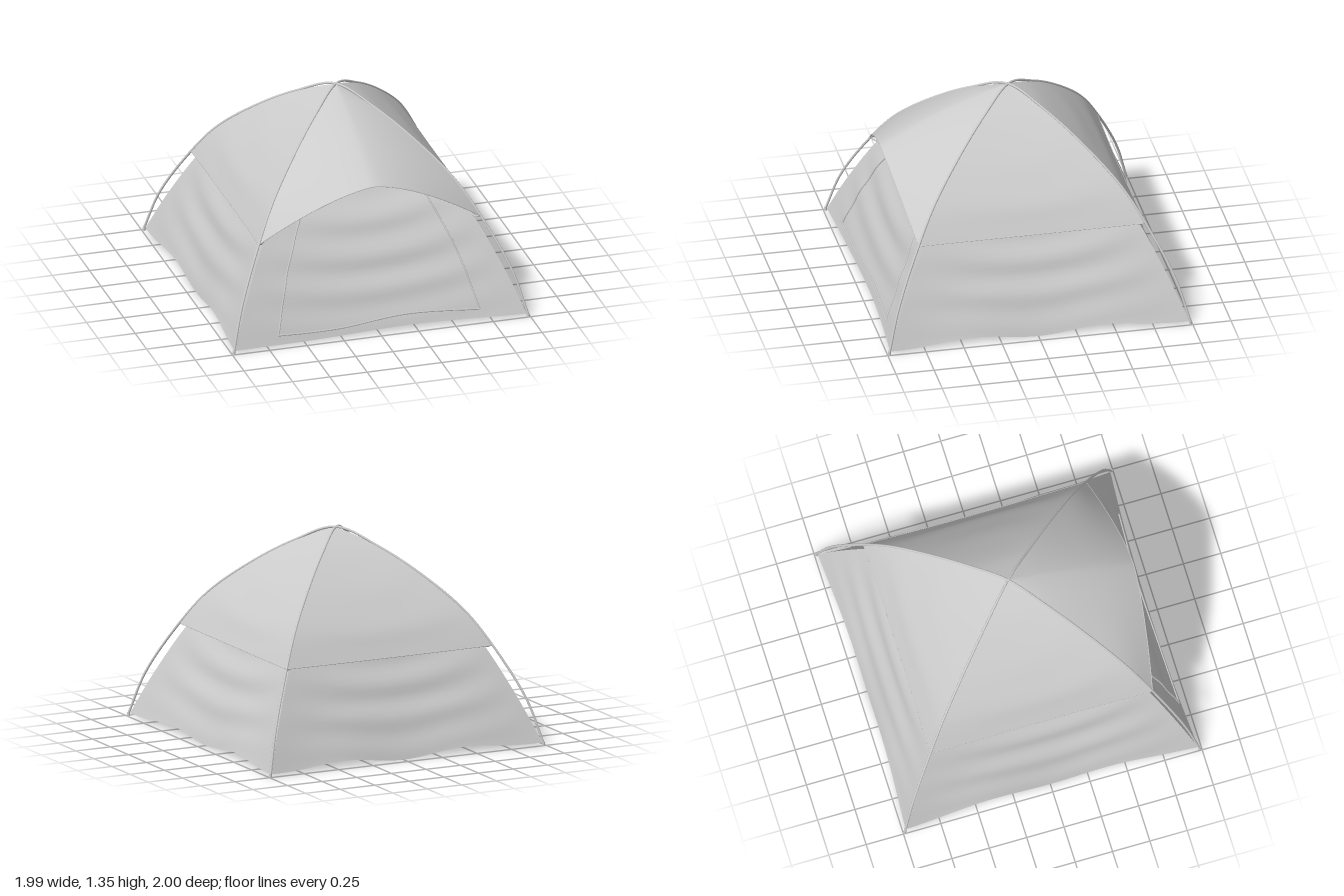
import * as THREE from 'three';

const fabric = new THREE.MeshStandardMaterial({ color: 0xcccccc, side: THREE.DoubleSide });
const solid = new THREE.MeshStandardMaterial({ color: 0xcccccc });
const spline = (pts) => new THREE.SplineCurve(pts.map(([x, y]) => new THREE.Vector2(x, y)));

// Corner profiles from the ground to the peak: half width, height
const polePoints = [[0.988, 0.012], [0.905, 0.3], [0.745, 0.635], [0.605, 0.86], [0.4, 1.075], [0.2, 1.235], [0, 1.343]];
const poleProfile = spline(polePoints);
const innerProfile = spline([[0.98, 0.018], [0.865, 0.3], [0.705, 0.63], [0.555, 0.85], [0.36, 1.05], [0.17, 1.2], [0, 1.31]]);
const hip = 2 / 6; // where the fly ends along the pole

function addMesh(parent, name, geometry, material) {
  const mesh = new THREE.Mesh(geometry, material);
  mesh.name = name;
  parent.add(mesh);
  return mesh;
}

// Sheet whose points follow rule(u, v), u in -1..1 across and v in 0..1 upwards
function sheet(rule, nu = 48, nv = 64) {
  const g = new THREE.PlaneGeometry(2, 1, nu, nv);
  const pos = g.attributes.position;
  for (let i = 0; i < pos.count; i++) {
    const p = rule(pos.getX(i), pos.getY(i) + 0.5);
    pos.setXYZ(i, p.x, p.y, p.z);
  }
  g.computeVertexNormals();
  return g;
}

// Uneven bottom hems
const frontHem = (u) => 0.012 * Math.sin(Math.PI * (u + 0.15)) * (1 - u * u);
const sideHem = (u) => (0.008 - 0.024 * Math.cos(2 * Math.PI * u)) * (1 - u * u);

// Inner wall: pulled in at the middle, with hanging creases
function wallPoint(u, v, hem) {
  const p = innerProfile.getPoint(v);
  const slack = 1 - u * u;
  const fade = Math.min(1, v * 5) * Math.max(0, 1 - v);
  const crease = 0.012 * fade * slack * Math.sin(30 * (p.y - 0.13 * u * u));
  const sag = 0.036 * slack * (1 - v);
  const y = p.y + hem(u) * Math.max(0, 1 - 5 * v);
  return new THREE.Vector3(u * p.x, y, p.x - sag + crease);
}

// Point on the front wall at a given x and y
function frontWallAt(x, y) {
  let lo = 0, hi = 1;
  for (let i = 0; i < 30; i++) {
    const mid = (lo + hi) / 2;
    if (innerProfile.getPoint(mid).y < y) lo = mid; else hi = mid;
  }
  const p = wallPoint(x / innerProfile.getPoint(lo).x, lo, frontHem);
  p.z += 0.003;
  return p;
}

// Side and back fly panels
function flyPoint(u, v) {
  const p = poleProfile.getPoint(hip + (1 - hip) * v);
  const slack = (1 - u * u) * (1 - v);
  const crease = 0.004 * slack * Math.min(1, v * 6) * Math.sin(26 * (p.y - 0.1 * u * u));
  return new THREE.Vector3(u * p.x, p.y - 0.004 * slack, p.x - 0.008 * slack + crease);
}

// Front fly panel, bowed out into a canopy
const canopyRidge = new THREE.QuadraticBezierCurve(
  new THREE.Vector2(0.84, 0.985), new THREE.Vector2(0.44, 1.225), new THREE.Vector2(0, 1.343));
function canopyPoint(u, v) {
  const p = poleProfile.getPoint(hip + (1 - hip) * v);
  const m = canopyRidge.getPoint(v);
  const b = 1 - Math.pow(Math.abs(u), 1.5);
  return new THREE.Vector3(u * p.x, p.y + (m.y - p.y) * b, p.x + (m.x - p.x) * b);
}

function tube(points, radius, segments, sides = 8) {
  return new THREE.TubeGeometry(new THREE.CatmullRomCurve3(points), segments, radius, sides);
}

export function createModel() {
  const tent = new THREE.Group();
  tent.name = 'tent';

  // Four inner walls and four fly panels
  ['front', 'left', 'back', 'right'].forEach((side, i) => {
    const hem = i === 0 ? frontHem : sideHem;
    const panels = new THREE.Group();
    panels.name = side + 'Panels';
    panels.rotation.y = i * Math.PI / 2;
    addMesh(panels, side + 'InnerWall', sheet((u, v) => wallPoint(u, v, hem)), fabric);
    addMesh(panels, i === 0 ? 'frontCanopy' : side + 'Fly', sheet(i === 0 ? canopyPoint : flyPoint), fabric);

    // Hem of the fly
    const rule = i === 0 ? canopyPoint : flyPoint;
    const edge = [];
    for (let k = 0; k <= 24; k++) edge.push(rule(k / 12 - 1, 0));
    addMesh(panels, side + 'FlyHem', tube(edge, 0.003, 48, 6), solid);
    tent.add(panels);
  });

  // Two crossing poles, corner to corner
  for (const s of [1, -1]) {
    const half = polePoints.map(([c, y]) => new THREE.Vector3(c, y, s * c));
    const other = half.slice(0, -1).reverse().map((p) => new THREE.Vector3(-p.x, p.y, -p.z));
    addMesh(tent, 'pole', tube([...half, ...other], 0.008, 96), solid);
  }

  // Corner fittings: strap at the hip and foot on the ground
  for (const sx of [1, -1]) for (const sz of [1, -1]) {
    const strap = [[0.74, 0.64], [0.72, 0.625], [0.7, 0.63]].map(([c, y]) => new THREE.Vector3(sx * c, y, sz * c));
    addMesh(tent, 'cornerStrap', tube(strap, 0.006, 8, 6), solid);
    const foot = addMesh(tent, 'poleFoot', new THREE.CylinderGeometry(0.009, 0.011, 0.022, 10), solid);
    foot.position.set(sx * 0.987, 0.012, sz * 0.987);
  }

  // Zip around the front door
  const outline = [
    [[-0.675, 0.075], [-0.56, 0.46], [-0.38, 0.852]],
    [[-0.38, 0.852], [0, 0.847], [0.38, 0.852]],
    [[0.38, 0.852], [0.56, 0.46], [0.675, 0.075]],
    [[0.675, 0.075], [0.2, 0.092], [-0.25, 0.066], [-0.675, 0.075]],
  ];
  const door = new THREE.Group();
  door.name = 'doorZip';
  for (const run of outline) {
    const pts = spline(run).getPoints(32).map((p) => frontWallAt(p.x, p.y));
    addMesh(door, 'zipRun', tube(pts, 0.006, 64, 6), solid);
  }
  tent.add(door);
  return tent;
}
